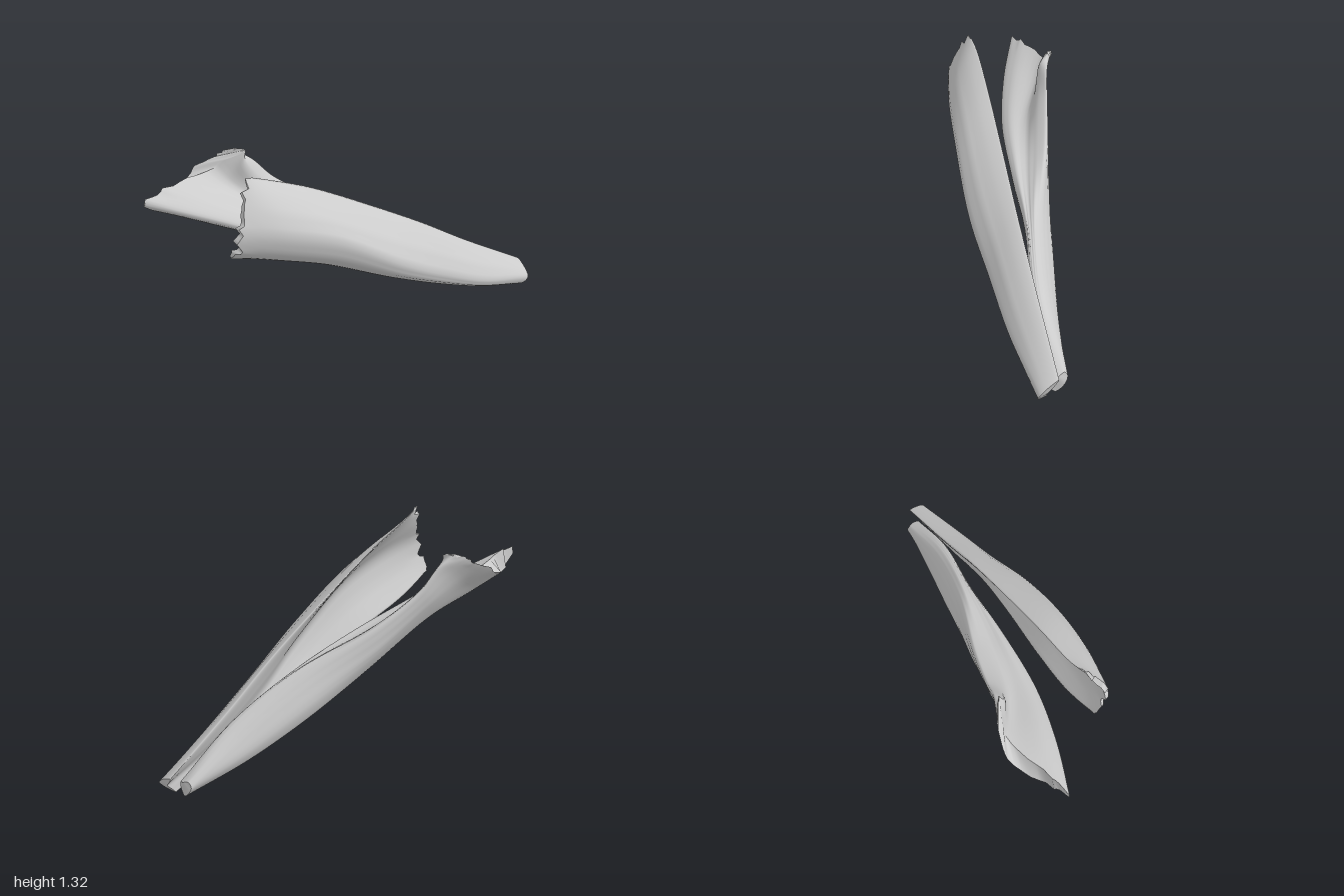
import * as THREE from 'three';

const V = (p) => new THREE.Vector3(...p);
const mix = (a, b, ...t) => a.map((v, k) => v + (b[k] - v) * t[k]);
const AROUND = 48;
const ALONG = 64;

// Seeded generator for the ragged broken ends
function seeded(seed) {
  return () => {
    seed = (seed * 16807) % 2147483647;
    return seed / 2147483647;
  };
}

// Smooth skin through closed cross-sections, capped at both ends.
// Loop points i and AROUND - i face each other across the thickness.
function loft(sections, rough, seed) {
  const rand = seeded(seed);
  const count = sections[0].length;
  const rails = [];
  for (let k = 0; k < count; k++) {
    rails.push(new THREE.CatmullRomCurve3(sections.map((s) => V(s[k]))));
  }
  const jag = Array.from({ length: AROUND / 2 + 1 }, () => (rand() - 0.6) * rough);
  const groove = Array.from({ length: AROUND }, () => (rand() - 0.5) * 0.006);
  const rings = [];
  for (let s = 0; s <= ALONG; s++) {
    const t = s / ALONG;
    const loop = new THREE.CatmullRomCurve3(rails.map((r) => r.getPoint(t)), true);
    const middle = new THREE.Vector3();
    rails.forEach((r) => middle.addScaledVector(r.getPoint(t), 1 / count));
    const fade = Math.max(0, (t - 0.93) / 0.07);
    const ring = [];
    for (let i = 0; i < AROUND; i++) {
      const p = loop.getPoint(i / AROUND);
      const out = p.clone().sub(middle).normalize();
      p.addScaledVector(out, groove[i] * Math.sin(Math.PI * t));
      const pull = jag[Math.min(i, AROUND - i)] * fade;
      p.add(new THREE.Vector3(-0.75, 0.5, -0.45).multiplyScalar(pull));
      ring.push(p);
    }
    rings.push(ring);
  }

  const pos = [];
  const idx = [];
  const addRing = (ring) => ring.forEach((p) => pos.push(p.x, p.y, p.z));
  rings.forEach(addRing);
  for (let s = 0; s < ALONG; s++) {
    for (let i = 0; i < AROUND; i++) {
      const j = (i + 1) % AROUND;
      const a = s * AROUND + i, b = s * AROUND + j;
      idx.push(a, a + AROUND, b, b, a + AROUND, b + AROUND);
    }
  }
  // End caps, stitched across the thickness
  [rings[0], rings[ALONG]].forEach((ring, end) => {
    const base = pos.length / 3;
    addRing(ring);
    for (let i = 0; i < AROUND / 2; i++) {
      const a = base + i, b = base + i + 1;
      const c = base + AROUND - 1 - i, d = base + ((AROUND - i) % AROUND);
      if (end === 0) idx.push(a, b, c, a, c, d);
      else idx.push(a, c, b, a, d, c);
    }
  });
  const g = new THREE.BufferGeometry();
  g.setAttribute('position', new THREE.Float32BufferAttribute(pos, 3));
  g.setIndex(idx);
  g.computeVertexNormals();
  return g;
}

// Crescent section from its top edge, foremost point and bottom edge
function crescent([top, front, bottom, thick]) {
  const upper = mix(top, front, 0.45, 0.45, 0.64);
  const lower = mix(bottom, front, 0.4, 0.35, 0.78);
  const inset = (p, k) => {
    const q = mix(p, front, 0, 0.14, 0);
    q[2] -= thick * k;
    return q;
  };
  return [top, upper, front, lower, bottom, inset(lower, 0.9), inset(front, 1), inset(upper, 0.8)];
}

// Ridged section: ridge and front edge joined by a trough, outer face behind
function ridged([ridge, ridgeFront, trough, front, lower, outer]) {
  const lip = mix(trough, front, 0.7, 0.7, 0.7);
  lip[1] += 0.03;
  const ridgeBack = mix(ridge, outer, 0.4, 0.4, 0.4);
  ridgeBack[2] -= 0.02;
  return [ridge, ridgeFront, trough, lip, front, lower, outer, ridgeBack];
}

export function createModel() {
  const group = new THREE.Group();
  const material = new THREE.MeshStandardMaterial({ color: 0xcccccc, side: THREE.DoubleSide });
  const add = (name, geometry) => {
    const mesh = new THREE.Mesh(geometry, material);
    mesh.name = name;
    group.add(mesh);
  };

  // Front blade: a long shell, hollow towards the back, thicker at the tip
  const frontSections = [
    [[0.99, 0.15, 0.51], [0.965, 0.07, 0.62], [0.92, 0.005, 0.54], 0.06],
    [[0.6, 0.44, 0.38], [0.6, 0.22, 0.555], [0.6, 0.14, 0.46], 0.1],
    [[0.3, 0.68, 0.28], [0.3, 0.4, 0.48], [0.3, 0.29, 0.37], 0.1],
    [[0, 0.9, 0.17], [0, 0.61, 0.41], [0, 0.45, 0.24], 0.08],
    [[-0.35, 1.14, 0.04], [-0.35, 0.88, 0.27], [-0.35, 0.645, 0.07], 0.055],
    [[-0.6, 1.275, -0.05], [-0.62, 1, 0.14], [-0.6, 0.755, -0.03], 0.04],
    [[-0.71, 1.335, -0.07], [-0.83, 1.07, 0.01], [-0.84, 0.87, -0.09], 0.03],
  ].map(crescent);
  add('frontBlade', loft(frontSections, 0.05, 11));

  // Back blade: ridge, ridge front, trough, front edge, lower edge, outer face
  const backSections = [
    [[0.93, 0.12, 0.43], [0.93, 0.115, 0.455], [0.93, 0.105, 0.475],
      [0.91, 0.05, 0.51], [0.92, 0.005, 0.48], [0.94, 0.05, 0.43]],
    [[0.6, 0.36, 0.31], [0.6, 0.37, 0.345], [0.6, 0.36, 0.37],
      [0.6, 0.28, 0.4], [0.6, 0.13, 0.28], [0.6, 0.22, 0.23]],
    [[0.25, 0.6, 0.1], [0.25, 0.61, 0.14], [0.25, 0.59, 0.17],
      [0.25, 0.53, 0.2], [0.25, 0.32, 0.07], [0.25, 0.44, 0.015]],
    [[-0.08, 0.83, -0.18], [-0.1, 0.8, -0.13], [-0.12, 0.745, -0.06],
      [-0.12, 0.68, 0.04], [-0.1, 0.5, -0.08], [-0.07, 0.63, -0.17]],
    [[-0.28, 1, -0.33], [-0.33, 0.98, -0.3], [-0.38, 0.88, -0.26],
      [-0.48, 0.8, -0.14], [-0.48, 0.74, -0.28], [-0.38, 0.85, -0.34]],
    [[-0.38, 1.14, -0.4], [-0.43, 1.13, -0.38], [-0.5, 1, -0.42],
      [-0.75, 0.94, -0.34], [-0.72, 0.87, -0.45], [-0.56, 0.96, -0.46]],
    [[-0.46, 1.2, -0.48], [-0.42, 1.21, -0.405], [-0.56, 1.1, -0.53],
      [-1, 1.06, -0.57], [-0.9, 0.97, -0.57], [-0.65, 1.07, -0.62]],
  ].map(ridged);
  add('backBlade', loft(backSections, 0.03, 5));

  return group;
}
